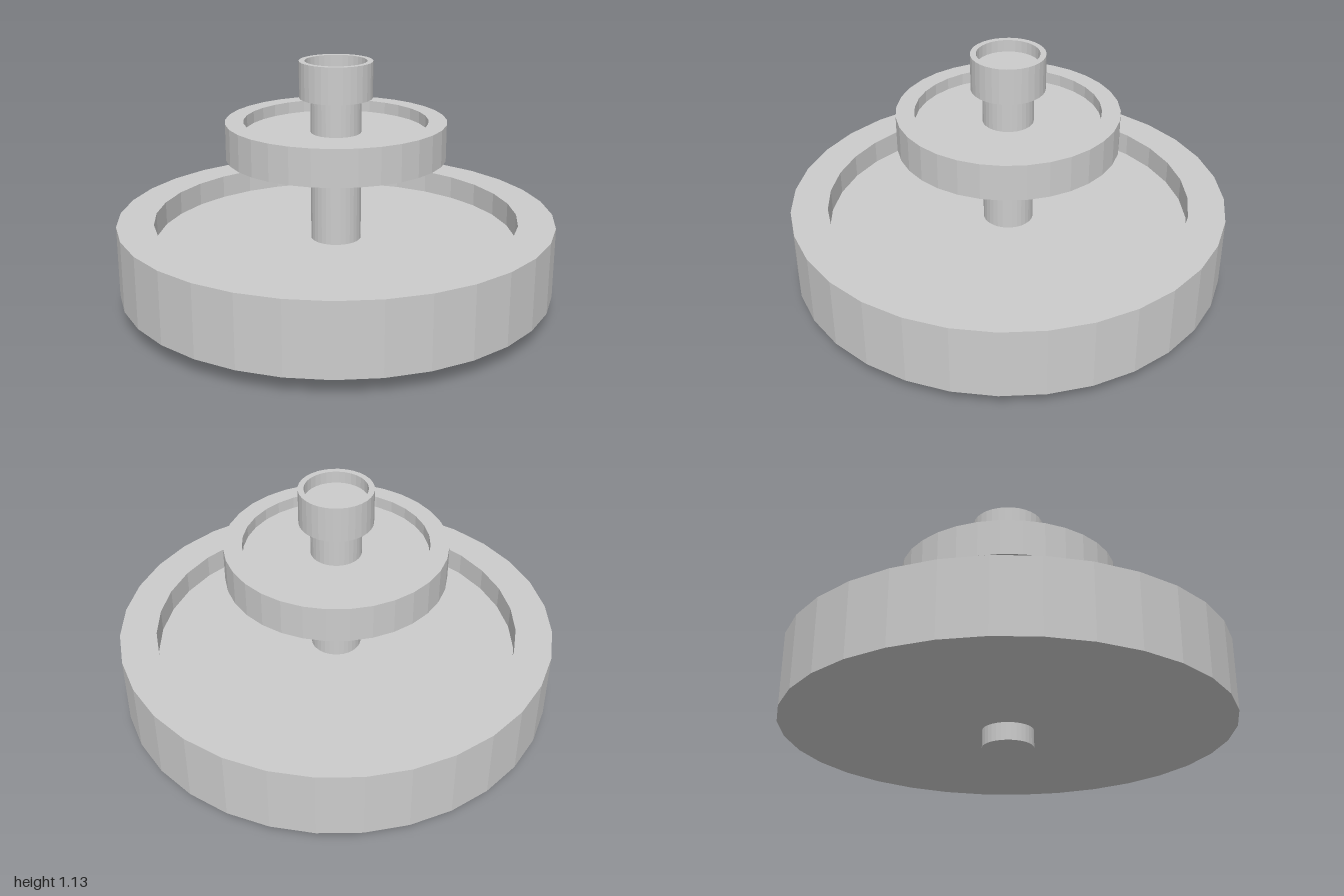
import * as THREE from 'three';

const SEGMENTS = 32;
const material = new THREE.MeshStandardMaterial({ color: 0xcccccc, flatShading: true });

// Solid round dish: flat underside, straight wall, shallow recess in the top
function dish(name, radius, innerRadius, bottom, top, depth) {
  const profile = [
    [0, bottom], [radius, bottom], [radius, top],
    [innerRadius, top], [innerRadius, top - depth], [0, top - depth],
  ].map(([r, y]) => new THREE.Vector2(r, y));
  const mesh = new THREE.Mesh(new THREE.LatheGeometry(profile, SEGMENTS), material);
  mesh.name = name;
  return mesh;
}

export function createModel() {
  const model = new THREE.Group();
  model.name = 'tieredStand';

  // Three dishes of decreasing size, each recessed by a third of its height
  model.add(
    dish('lowerTray', 1, 0.833, 0.08, 0.407, 0.11),
    dish('upperTray', 0.5, 0.417, 0.69, 0.856, 0.055),
    dish('topCup', 0.166, 0.14, 0.96, 1.126, 0.055),
  );

  // Central shaft through both trays, ending inside the cup
  const height = 1.0;
  const shaft = new THREE.Mesh(
    new THREE.CylinderGeometry(0.115, 0.115, height, SEGMENTS), material);
  shaft.position.y = height / 2;
  shaft.name = 'shaft';
  model.add(shaft);

  return model;
}
